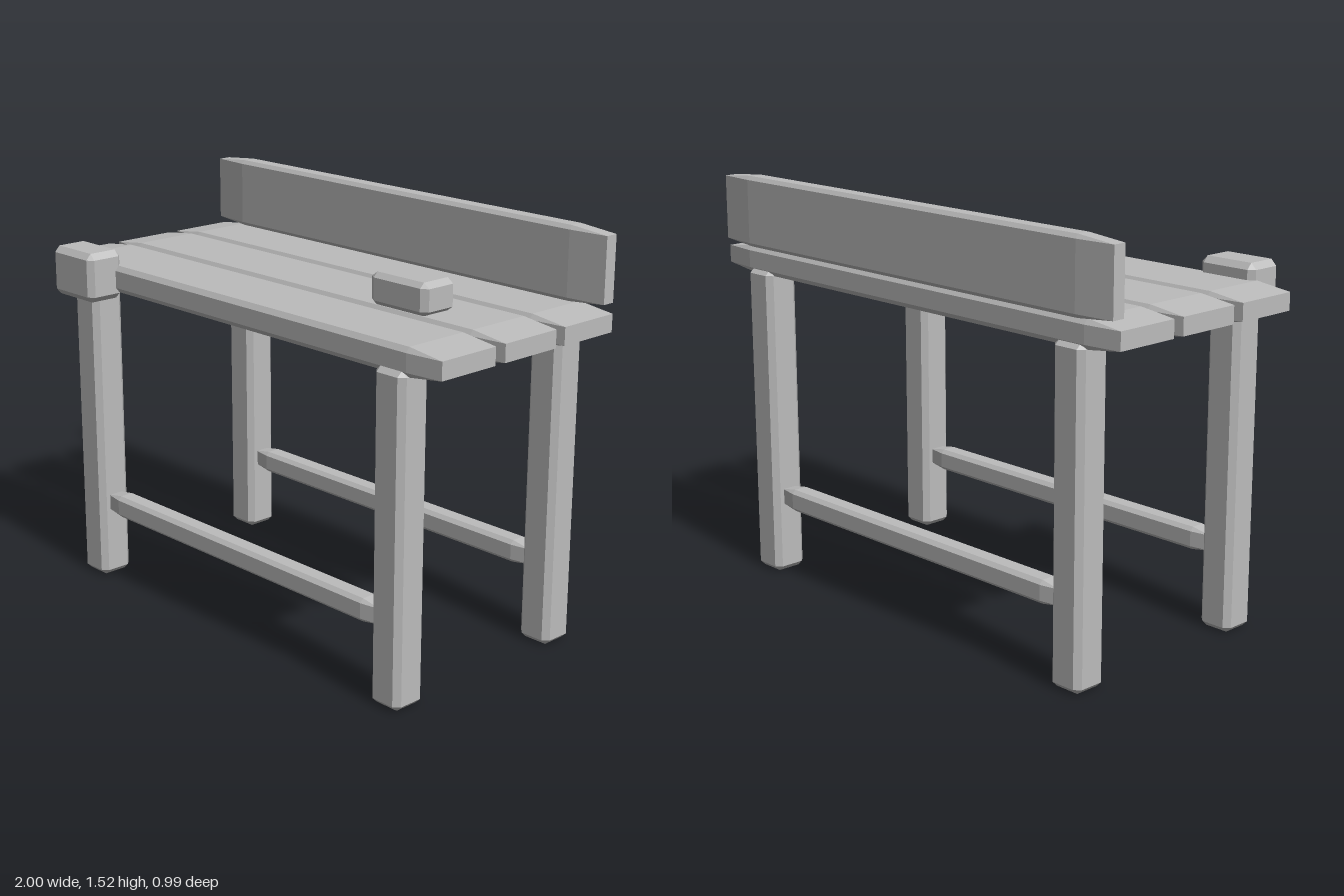
import * as THREE from 'three';
import { ConvexGeometry } from 'three/addons/geometries/ConvexGeometry.js';

// Box with chamfered edges; the chamfer may differ along each axis
function chamferBox(w, h, d, bx, by, bz) {
  const points = [];
  for (const sx of [-1, 1]) for (const sy of [-1, 1]) for (const sz of [-1, 1]) {
    const x = w / 2, y = h / 2, z = d / 2;
    points.push(
      new THREE.Vector3(sx * x, sy * (y - by), sz * (z - bz)),
      new THREE.Vector3(sx * (x - bx), sy * y, sz * (z - bz)),
      new THREE.Vector3(sx * (x - bx), sy * (y - by), sz * z)
    );
  }
  return new ConvexGeometry(points);
}

export function createModel() {
  const bench = new THREE.Group();
  bench.name = 'workbench';
  const grey = new THREE.MeshStandardMaterial({ color: 0xbcbcbc, flatShading: true });
  grey.name = 'plain grey';

  // Adds a chamfered part from its extents on each axis
  function add(name, [x0, x1], [y0, y1], [z0, z1], [bx, by, bz]) {
    const mesh = new THREE.Mesh(chamferBox(x1 - x0, y1 - y0, z1 - z0, bx, by, bz), grey);
    mesh.position.set((x0 + x1) / 2, (y0 + y1) / 2, (z0 + z1) / 2);
    mesh.name = name;
    bench.add(mesh);
  }

  // Three planks of the worktop, tapering towards their ends
  [['front', 0.108, 0.383], ['middle', -0.187, 0.09], ['back', -0.478, -0.203]].forEach(([side, z0, z1]) =>
    add(side + 'Plank', [-1, 1], [1.157, 1.257], [z0, z1], [0.14, 0.018, 0.014]));

  // Upright board along the back edge
  add('backBoard', [-0.985, 0.985], [1.257, 1.52], [-0.495, -0.422], [0.15, 0.014, 0.012]);

  // Legs and the long rails between them
  for (const [side, z] of [['front', 0.335], ['back', -0.425]]) {
    for (const [hand, x] of [['Left', 0.795], ['Right', -0.795]])
      add(side + hand + 'Leg', [x - 0.067, x + 0.067], [0, 1.178], [z - 0.066, z + 0.066], [0.021, 0.02, 0.021]);
    add(side + 'Rail', [-0.74, 0.74], [0.258, 0.342], [z - 0.04, z + 0.04], [0.08, 0.014, 0.014]);
  }

  // Vise block on the front edge and loose block on the top
  add('viseBlock', [-0.855, -0.62], [1.132, 1.314], [0.348, 0.497], [0.022, 0.022, 0.02]);
  add('topBlock', [0.395, 0.66], [1.255, 1.37], [-0.062, 0.088], [0.025, 0.018, 0.018]);

  return bench;
}
